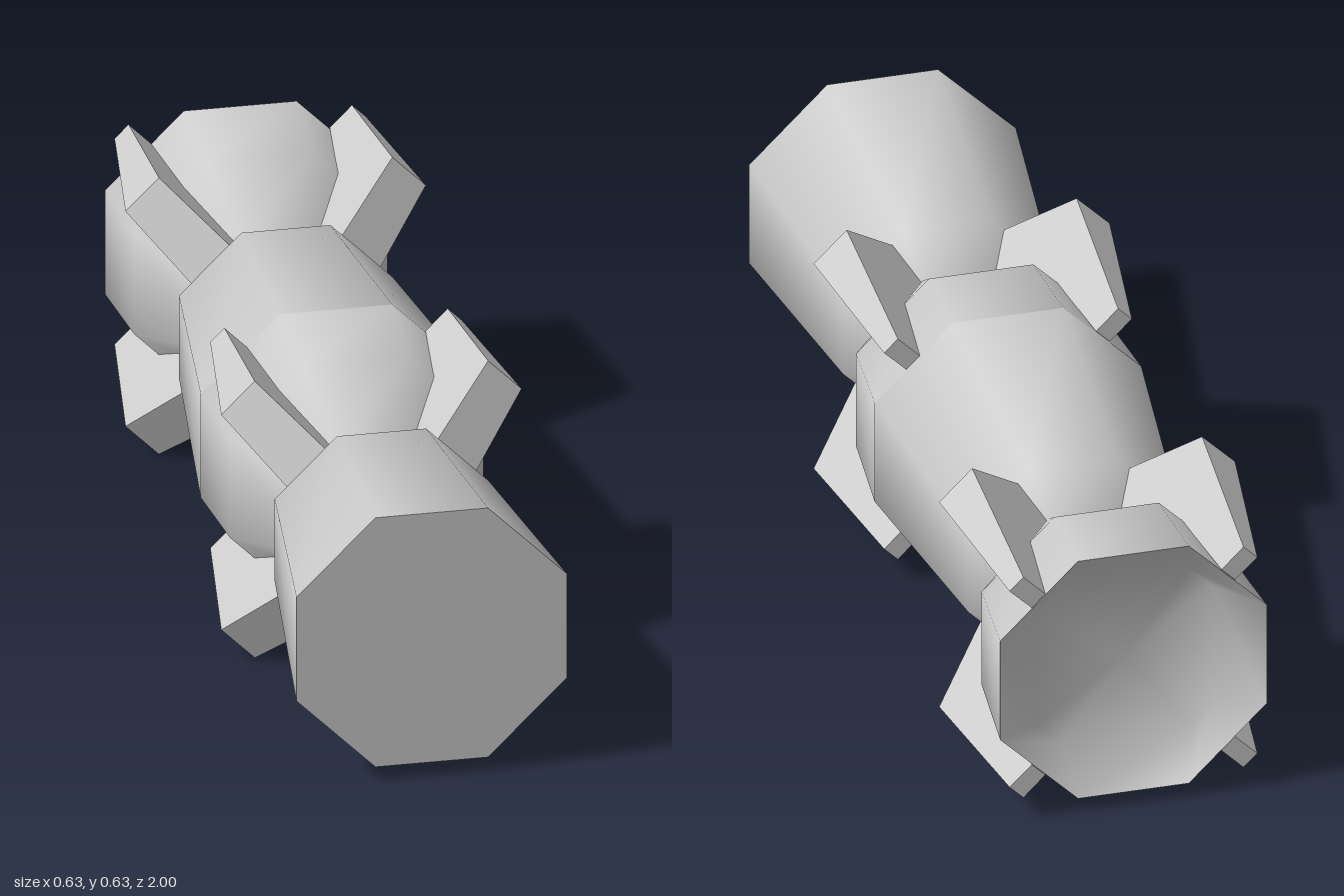
import * as THREE from 'three';
import { toCreasedNormals } from 'three/addons/utils/BufferGeometryUtils.js';

const CENTRE_Y = 0.319;
const grey = new THREE.MeshStandardMaterial({ color: 0xcccccc });

// Octagonal tube: each ring is [z, half width, half length of the straight sides]
function loft(rings) {
  const pos = [], index = [];
  for (const [z, h, c] of rings) {
    for (const [x, y] of [[h, -c], [h, c], [c, h], [-c, h], [-h, c], [-h, -c], [-c, -h], [c, -h]]) pos.push(x, y, z);
  }
  for (let i = 0; i < rings.length - 1; i++) {
    for (let j = 0; j < 8; j++) {
      const k = (j + 1) % 8;
      const a = i * 8 + j, b = i * 8 + k, c = a + 8, d = b + 8;
      // skip the collapsed halves at the cap centres
      if (rings[i][1] > 0) index.push(a, c, b);
      if (rings[i + 1][1] > 0) index.push(b, c, d);
    }
  }
  const geo = new THREE.BufferGeometry();
  geo.setAttribute('position', new THREE.Float32BufferAttribute(pos, 3));
  geo.setIndex(index);
  return toCreasedNormals(geo, Math.PI / 3);
}

// Fin: side profile in (z, radius), getting thinner towards the back
function finGeometry() {
  const profile = [[0.476, 0.226], [0.37, 0.399], [0, 0.355], [0, 0.288], [0.215, 0.268], [0.395, 0.161]];
  const shape = new THREE.Shape(profile.map(([z, r]) => new THREE.Vector2(z, r)));
  const geo = new THREE.ExtrudeGeometry(shape, { depth: 2, bevelEnabled: false });
  geo.translate(0, 0, -1).rotateY(-Math.PI / 2);
  const p = geo.attributes.position;
  for (let i = 0; i < p.count; i++) {
    p.setX(i, p.getX(i) * (0.0185 + 0.0776 * p.getZ(i) + 0.007 * p.getY(i)));
  }
  geo.computeVertexNormals();
  return geo;
}

export function createModel() {
  const model = new THREE.Group();
  model.name = 'segmentedShaft';

  // Front cap, taper, neck, flared socket and the shallow recess at its back
  const body = loft([
    [1, 0, 0], [1, 0.286, 0.119],
    [0.476, 0.226, 0.094],
    [0.395, 0.155, 0.075],
    [0.215, 0.268, 0.112],
    [0, 0.286, 0.119],
    [0.07, 0.188, 0.14], [0.07, 0, 0],
  ]);
  const fin = finGeometry();

  // Two identical segments end to end
  ['front', 'back'].forEach((label, s) => {
    const segment = new THREE.Group();
    segment.name = label + 'Segment';
    segment.position.set(0, CENTRE_Y, -s);
    const shaft = new THREE.Mesh(body, grey);
    shaft.name = 'body';
    segment.add(shaft);
    // Four fins on the diagonals
    for (let k = 0; k < 4; k++) {
      const mesh = new THREE.Mesh(fin, grey);
      mesh.name = 'fin' + (k + 1);
      mesh.rotation.z = Math.PI / 4 + k * Math.PI / 2;
      segment.add(mesh);
    }
    model.add(segment);
  });
  return model;
}
